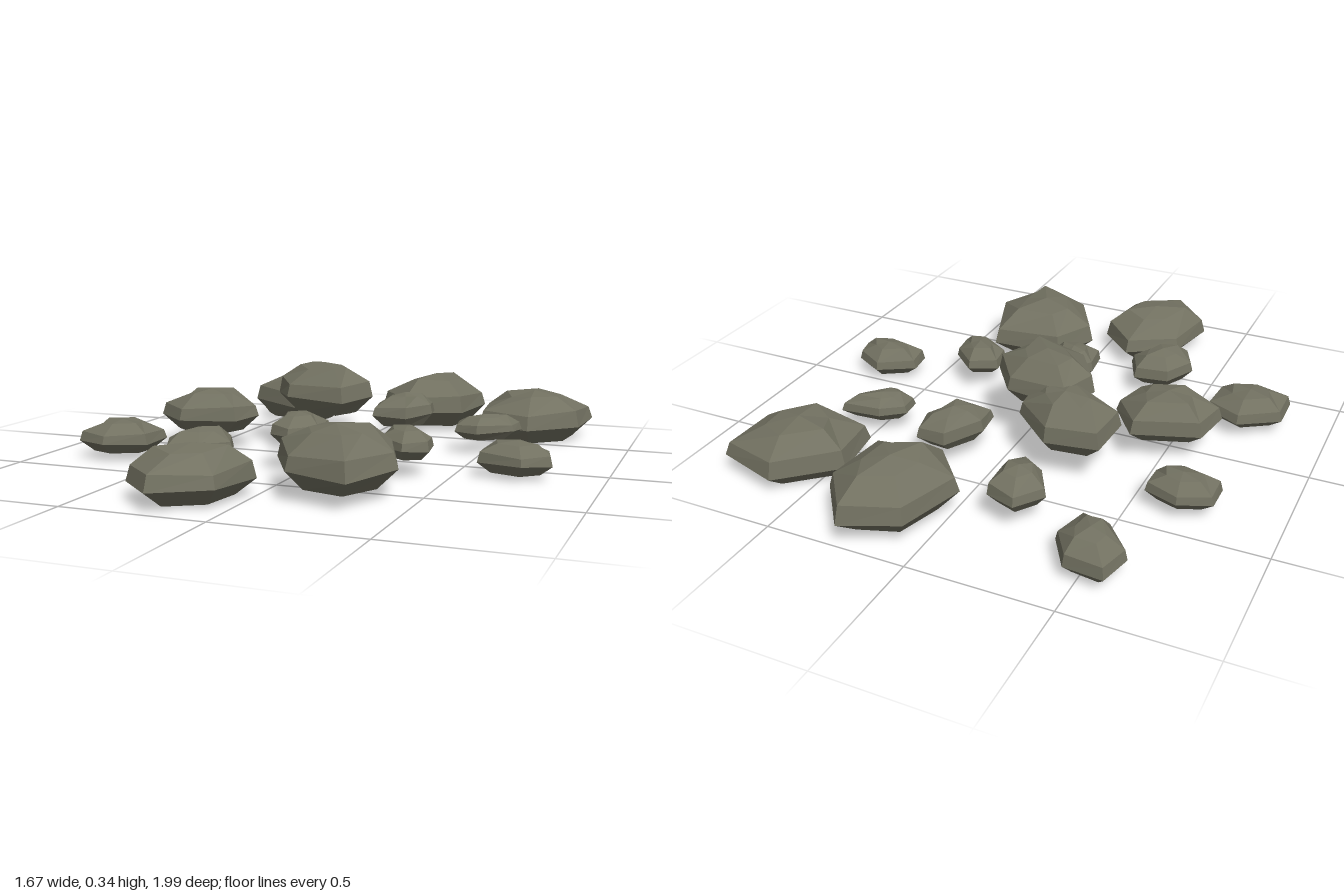
import * as THREE from 'three';

const stone = new THREE.MeshStandardMaterial({ color: 0x727161, flatShading: true });
stone.name = 'mossy grey stone';

// height fraction and width of each cross-section, from base to crown
const LEVELS = [[0, 0.66], [0.33, 1], [0.62, 0.93], [0.91, 0.5]];

// Faceted boulder: outline is the widest [x, z] belt, clockwise from above
function rock(name, y0, y1, outline) {
  const pts = outline.slice().reverse();
  const n = pts.length, h = y1 - y0;
  const cx = pts.reduce((s, p) => s + p[0], 0) / n;
  const cz = pts.reduce((s, p) => s + p[1], 0) / n;
  const wobble = (i, l) => Math.sin(i * 2.4 + l * 1.7 + cx * 19 + cz * 13);

  const rings = LEVELS.map(([f, s], l) => pts.map(([x, z], i) => {
    const k = s + (l === 3 ? 0.08 * wobble(i, l) : 0);
    const dy = l === 0 ? 0 : 0.035 * wobble(i, l);
    return [(x - cx) * k, (f + dy) * h, (z - cz) * k];
  }));
  const base = [0, 0, 0], crown = [0, h, 0];

  const pos = [];
  const tri = (a, b, c) => pos.push(...a, ...b, ...c);
  for (let i = 0; i < n; i++) {
    const j = (i + 1) % n;
    for (let l = 0; l < rings.length - 1; l++) {
      const lo = rings[l], hi = rings[l + 1];
      tri(lo[i], lo[j], hi[j]);
      tri(lo[i], hi[j], hi[i]);
    }
    tri(rings[3][i], rings[3][j], crown);
    tri(rings[0][j], rings[0][i], base);
  }
  const g = new THREE.BufferGeometry();
  g.setAttribute('position', new THREE.Float32BufferAttribute(pos, 3));
  g.computeVertexNormals();
  const mesh = new THREE.Mesh(g, stone);
  mesh.name = name;
  mesh.position.set(cx, y0, cz);
  return mesh;
}

export function createModel() {
  const group = new THREE.Group();
  group.name = 'scatteredRocks';
  group.add(
    // large outer boulders
    rock('backBoulder', 0.02, 0.22, [[0.04, -0.93], [0.24, -1], [0.37, -0.83], [0.33, -0.6], [0.1, -0.54], [-0.03, -0.69]]),
    rock('backLeftBoulder', 0, 0.19, [[0.6, -0.85], [0.82, -0.79], [0.8, -0.58], [0.63, -0.43], [0.43, -0.49], [0.41, -0.68]]),
    rock('frontLeftBoulder', 0.03, 0.225, [[0.08, 0.33], [0.35, 0.32], [0.44, 0.57], [0.34, 0.77], [0.12, 0.71], [0, 0.49]]),
    rock('frontBoulder', 0.005, 0.175, [[-0.14, 0.5], [0, 0.65], [-0.03, 0.88], [-0.21, 0.99], [-0.36, 0.84], [-0.32, 0.61]]),
    // raised middle boulders
    rock('middleBackBoulder', 0.1, 0.28, [[-0.38, -0.38], [-0.19, -0.4], [-0.04, -0.27], [-0.04, -0.18], [-0.18, -0.07], [-0.39, -0.2]]),
    rock('middleTopBoulder', 0.155, 0.335, [[-0.2, -0.24], [0.03, -0.22], [0.13, -0.08], [0.07, 0.08], [-0.15, 0.06], [-0.25, -0.1]]),
    rock('middleRightBoulder', 0.07, 0.225, [[-0.41, -0.17], [-0.31, -0.04], [-0.35, 0.08], [-0.55, 0.14], [-0.67, 0.05], [-0.64, -0.09]]),
    // small stones, back half
    rock('backRightStone', 0.01, 0.14, [[-0.6, -0.88], [-0.46, -0.86], [-0.39, -0.75], [-0.43, -0.63], [-0.53, -0.64], [-0.63, -0.76]]),
    rock('backMiddleStone', 0.06, 0.185, [[-0.23, -0.72], [-0.12, -0.68], [-0.11, -0.56], [-0.16, -0.47], [-0.25, -0.53], [-0.3, -0.62]]),
    rock('rightStone', 0.03, 0.135, [[-0.67, -0.44], [-0.55, -0.4], [-0.55, -0.31], [-0.63, -0.24], [-0.78, -0.29], [-0.78, -0.39]]),
    rock('leftStone', 0.05, 0.14, [[0.47, -0.37], [0.62, -0.38], [0.61, -0.29], [0.49, -0.2], [0.4, -0.23], [0.39, -0.31]]),
    rock('innerBackStone', 0.07, 0.195, [[0.14, -0.49], [0.25, -0.48], [0.27, -0.38], [0.2, -0.26], [0.07, -0.25], [0.06, -0.35]]),
    // small stones, front half
    rock('farRightStone', 0.025, 0.14, [[-0.7, 0.14], [-0.57, 0.2], [-0.58, 0.33], [-0.72, 0.4], [-0.84, 0.36], [-0.84, 0.23]]),
    rock('frontRightStone', 0.04, 0.16, [[-0.38, 0.31], [-0.25, 0.3], [-0.2, 0.41], [-0.27, 0.52], [-0.39, 0.54], [-0.44, 0.43]]),
    rock('innerFrontStone', 0.09, 0.2, [[-0.04, 0.1], [0.05, 0.14], [0.06, 0.27], [-0.03, 0.34], [-0.11, 0.3], [-0.12, 0.2]]),
    rock('innerLeftStone', 0.06, 0.165, [[0.34, 0.07], [0.43, 0.15], [0.44, 0.24], [0.36, 0.29], [0.25, 0.21], [0.24, 0.12]]),
    rock('farLeftStone', 0.015, 0.125, [[0.7, -0.02], [0.81, 0.04], [0.83, 0.12], [0.74, 0.2], [0.58, 0.15], [0.57, 0.06]]),
  );
  return group;
}
